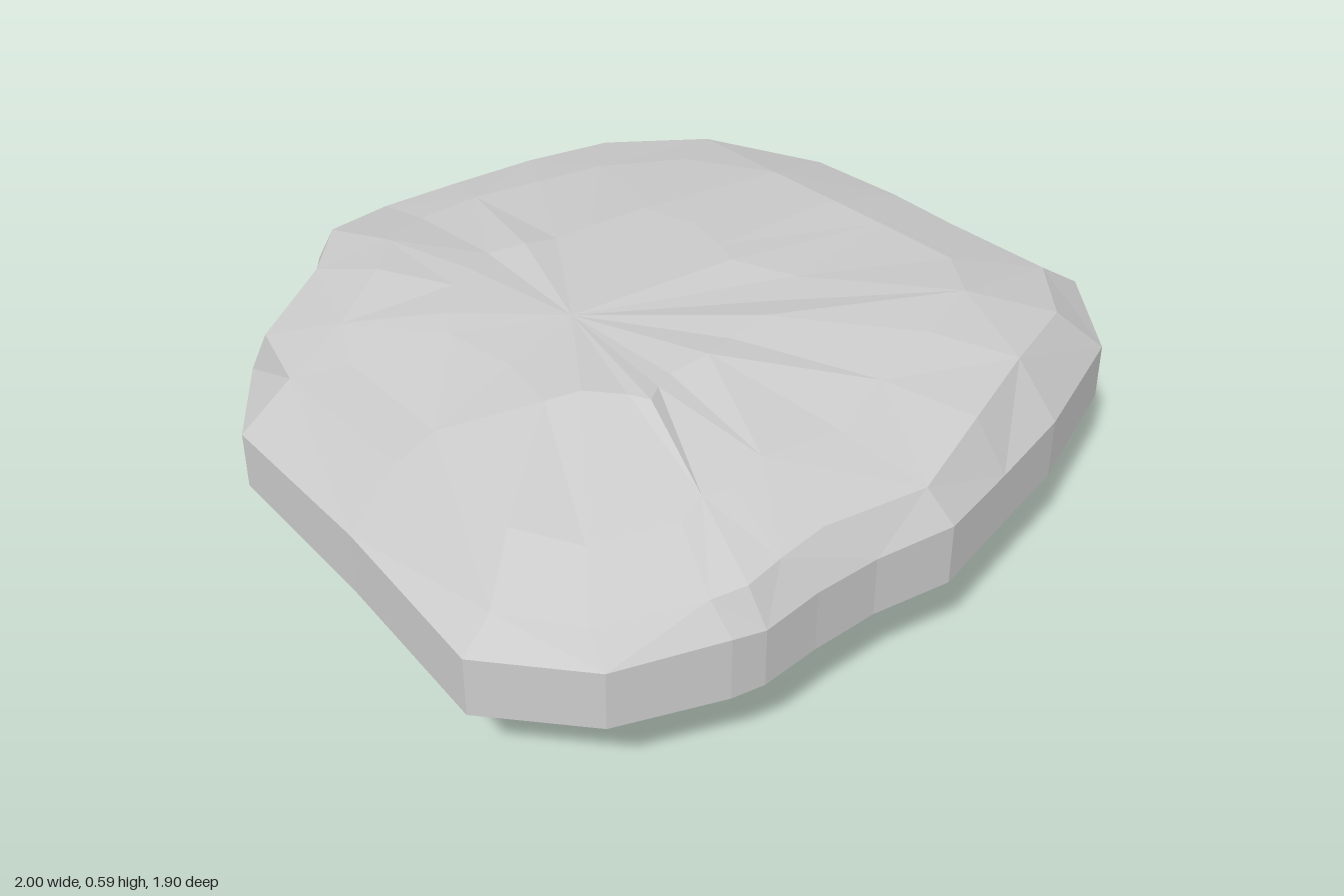
import * as THREE from 'three';

// Rim outline, clockwise from the back: rim x, rim z, shoulder x, shoulder z
const OUTLINE = [
  [-0.28, -0.95, -0.25, -0.92], [-0.05, -0.93, -0.05, -0.89], [0.17, -0.9, 0.17, -0.86], [0.44, -0.88, 0.41, -0.84],
  [0.68, -0.76, 0.66, -0.7], [0.85, -0.44, 0.82, -0.4], [0.9, -0.1, 0.82, -0.1], [0.95, 0.15, 0.83, 0.1],
  [1, 0.39, 0.87, 0.39], [0.83, 0.64, 0.72, 0.58], [0.5, 0.8, 0.48, 0.69], [0.27, 0.87, 0.25, 0.79],
  [0.05, 0.94, 0.02, 0.88], [-0.15, 0.92, -0.25, 0.86], [-0.32, 0.93, -0.38, 0.88], [-0.47, 0.95, -0.48, 0.9],
  [-0.55, 0.94, -0.56, 0.88], [-0.8, 0.86, -0.79, 0.79], [-1, 0.66, -0.92, 0.64], [-0.99, 0.2, -0.87, 0.2],
  [-1, -0.28, -0.88, -0.25], [-0.86, -0.5, -0.83, -0.47], [-0.63, -0.66, -0.6, -0.64], [-0.49, -0.85, -0.46, -0.82],
];

// Height profiles of the top and the underside across x and z
const TOP_X = [[-1, 0.42], [-0.89, 0.51], [-0.48, 0.6], [0.28, 0.59], [0.6, 0.55], [0.88, 0.45], [1, 0.38]];
const TOP_Z = [[-0.95, 0.4], [-0.87, 0.45], [-0.72, 0.49], [-0.52, 0.54], [-0.15, 0.585], [0.47, 0.6], [0.73, 0.52], [0.91, 0.45]];
const LOW_X = [[-1, 0.22], [-0.8, 0.06], [-0.4, 0.005], [0, 0.03], [0.4, 0.01], [0.7, 0.06], [0.95, 0.22]];
const LOW_Z = [[-0.95, 0.22], [-0.78, 0.07], [-0.45, 0.015], [-0.15, 0.04], [0.05, 0.015], [0.25, 0], [0.75, 0.025], [0.95, 0.22]];

function sample(profile, v) {
  if (v <= profile[0][0]) return profile[0][1];
  for (let i = 1; i < profile.length; i++) {
    const [a, ya] = profile[i - 1], [b, yb] = profile[i];
    if (v <= b) return ya + (yb - ya) * (v - a) / (b - a);
  }
  return profile[profile.length - 1][1];
}

const topY = (x, z) => Math.max(0.39, sample(TOP_X, x) + sample(TOP_Z, z) - 0.595);
const lowY = (x, z) => Math.min(0.15, sample(LOW_X, x) + sample(LOW_Z, z));

function createStone() {
  let seed = 7;
  const rand = () => (seed = (seed * 16807) % 2147483647) / 2147483647;
  const mix = THREE.MathUtils.lerp;

  // Ring pulled in towards a centre, on the top or the underside
  const topRing = (t, rough) => OUTLINE.map(([, , sx, sz]) => {
    const k = t + (rand() - 0.5) * rough * 4;
    const x = mix(-0.28, sx, k), z = mix(0.03, sz, k);
    return [x, topY(x, z) - rand() * rough, z];
  });
  const lowRing = (t, rough) => OUTLINE.map(([rx, rz]) => {
    const k = t + (rand() - 0.5) * rough * 3;
    const x = rx * k, z = rz * k;
    return [x, lowY(x, z) + rand() * rough, z];
  });
  const apex = (x, y, z) => OUTLINE.map(() => [x, y, z]);

  const rings = [
    apex(0, 0.05, 0),
    lowRing(0.4, 0.03),
    lowRing(0.79, 0.015),
    OUTLINE.map(([x, z]) => [x > 0.94 ? x - 0.05 : x, 0.225, z]),
    OUTLINE.map(([x, z]) => [x, 0.367 + rand() * 0.016, z]),
    topRing(1, 0),
    topRing(0.78, 0.016),
    topRing(0.42, 0.022),
    apex(-0.3, 0.58, 0.03),
  ];

  // Skin the rings, dropping the empty triangles at the two apexes
  const pos = [];
  const n = OUTLINE.length;
  for (let r = 0; r + 1 < rings.length; r++) {
    for (let i = 0; i < n; i++) {
      const j = (i + 1) % n;
      const a = rings[r][i], b = rings[r][j], c = rings[r + 1][j], d = rings[r + 1][i];
      if (r === 0) pos.push(...a, ...d, ...c);
      else if (r === rings.length - 2) pos.push(...a, ...d, ...b);
      else if ((i + r) % 2) pos.push(...a, ...d, ...c, ...a, ...c, ...b);
      else pos.push(...a, ...d, ...b, ...d, ...c, ...b);
    }
  }
  const geo = new THREE.BufferGeometry();
  geo.setAttribute('position', new THREE.Float32BufferAttribute(pos, 3));
  geo.computeBoundingBox();
  geo.translate(0, -geo.boundingBox.min.y, 0);
  geo.computeVertexNormals();
  return geo;
}

export function createModel() {
  const group = new THREE.Group();
  group.name = 'flatRock';
  const stone = new THREE.Mesh(
    createStone(),
    new THREE.MeshStandardMaterial({ color: 0xcccccc, flatShading: true }),
  );
  stone.name = 'stone';
  group.add(stone);
  return group;
}
